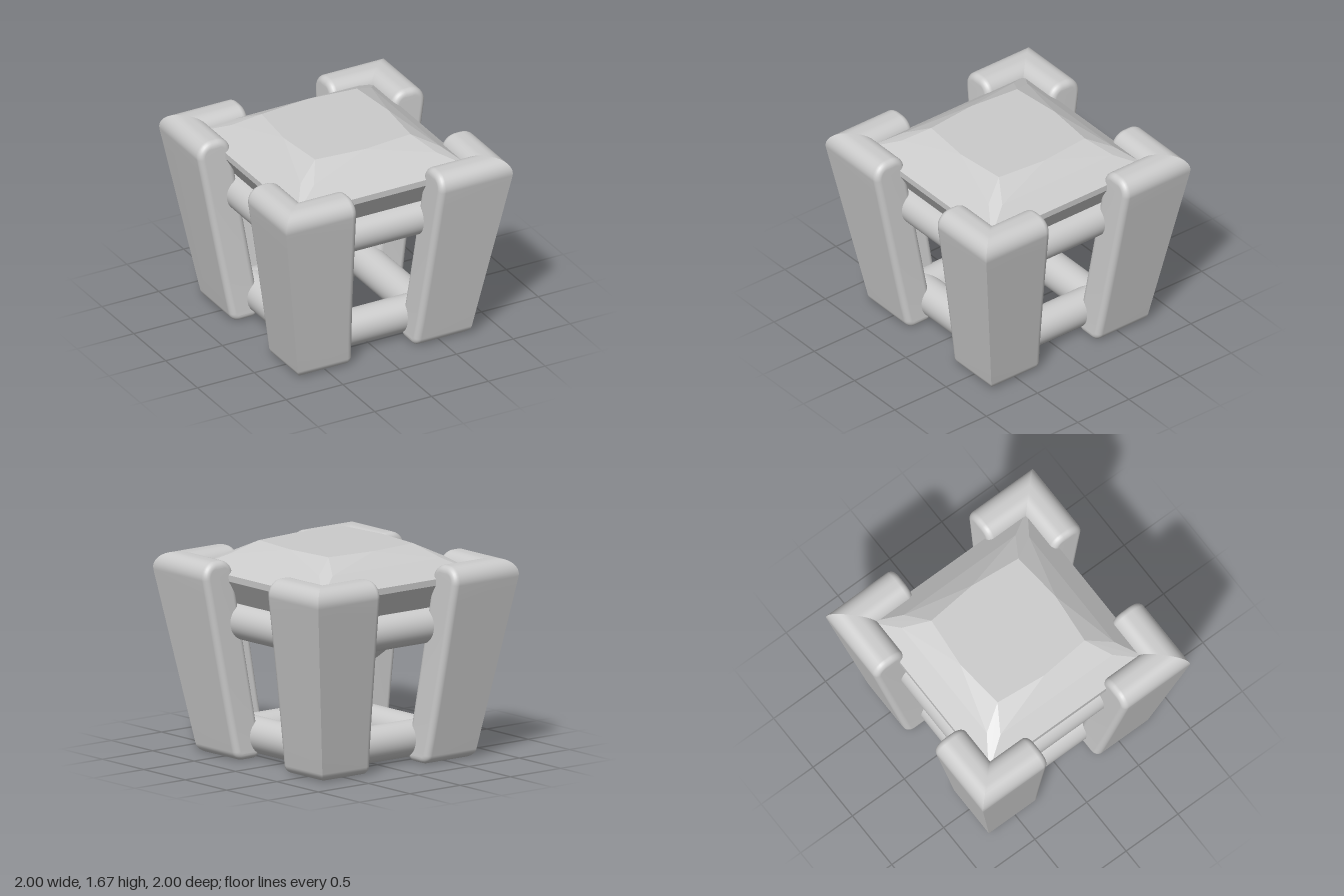
import * as THREE from 'three';
import { ConvexGeometry } from 'three/addons/geometries/ConvexGeometry.js';

const material = new THREE.MeshStandardMaterial({ color: 0xcccccc });
const V2 = (x, y) => new THREE.Vector2(x, y);

// Rounded thickness profile of a prong wing: arc centres, normals and radii, in (depth, height)
function wingProfile() {
  const corners = [[0.755, 0, 0.08], [1.02, 1.565, 0.12], [0.725, 1.565, 0.12], [0.49, 0, 0.08]];
  const p = corners.map(([z, y]) => V2(z, y));
  const arcSteps = 8, sideSteps = 10, points = [];
  corners.forEach(([, , r], k) => {
    const toPrev = p[(k + 3) % 4].clone().sub(p[k]).normalize();
    const toNext = p[(k + 1) % 4].clone().sub(p[k]).normalize();
    const sin = Math.abs(toPrev.cross(toNext));
    const centre = p[k].clone().add(toPrev.clone().add(toNext).multiplyScalar(r / sin));
    const a0 = Math.atan2(toPrev.x, -toPrev.y);
    let a1 = Math.atan2(-toNext.x, toNext.y);
    while (a1 < a0) a1 += Math.PI * 2;
    for (let i = 0; i <= arcSteps; i++) {
      const a = a0 + (a1 - a0) * i / arcSteps;
      points.push({ centre, normal: V2(Math.cos(a), Math.sin(a)), r });
    }
  });
  // Extra points along the two tall sides so the wing's end can curve
  const result = [], n = arcSteps + 1;
  points.forEach((q, i) => {
    result.push(q);
    if (i !== n - 1 && i !== 3 * n - 1) return;
    const next = points[i + 1];
    for (let s = 1; s < sideSteps; s++) {
      const t = s / sideSteps;
      result.push({
        centre: q.centre.clone().lerp(next.centre, t),
        normal: q.normal, r: q.r + (next.r - q.r) * t,
      });
    }
  });
  return result;
}

// One wing, mitred on the diagonal and rounded at its free end
function wingGeometry(swap) {
  const profile = wingProfile(), N = profile.length;
  const fillet = 0.05, steps = 6;
  const positions = [], index = [];
  const tri = (a, b, c) => (swap ? index.push(a, c, b) : index.push(a, b, c));
  for (let s = -1; s <= steps; s++) {
    const a = Math.max(s, 0) / steps * Math.PI / 2;
    const inset = fillet * (1 - Math.cos(a));
    for (const { centre, normal, r } of profile) {
      const z = centre.x + normal.x * (r - inset);
      const y = centre.y + normal.y * (r - inset);
      const end = 0.268 + 0.1 * Math.pow(Math.max(y, 0) / 1.565, 0.8);
      const x = s < 0 ? z : end + fillet * (1 - Math.sin(a));
      positions.push(...(swap ? [z, y, x] : [x, y, z]));
    }
  }
  for (let s = 0; s <= steps; s++) {
    for (let i = 0; i < N; i++) {
      const a = s * N + i, b = s * N + (i + 1) % N;
      tri(a, b, a + N);
      tri(b, b + N, a + N);
    }
  }
  // End cap in strips from the outer to the inner side
  const base = (steps + 1) * N;
  for (let i = 0; i < N / 2 - 1; i++) {
    const j = N - 1 - i;
    tri(base + i, base + i + 1, base + j - 1);
    tri(base + i, base + j - 1, base + j);
  }
  const g = new THREE.BufferGeometry();
  g.setAttribute('position', new THREE.Float32BufferAttribute(positions, 3));
  g.setIndex(index);
  g.computeVertexNormals();
  return g;
}

// Square frame of four round bars with mitred corners
function railFrame(name, y, half, radius) {
  const bar = new THREE.CylinderGeometry(radius, radius, 2, 48, 1, true);
  bar.rotateZ(Math.PI / 2).translate(0, 0, half);
  const pos = bar.attributes.position;
  for (let i = 0; i < pos.count; i++) pos.setX(i, Math.sign(pos.getX(i)) * pos.getZ(i));
  const frame = new THREE.Group();
  frame.name = name;
  frame.position.y = y;
  for (let k = 0; k < 4; k++) {
    const mesh = new THREE.Mesh(bar, material);
    mesh.name = 'railBar';
    mesh.rotation.y = k * Math.PI / 2;
    frame.add(mesh);
  }
  return frame;
}

// Square faceted stone: the same points repeated on four sides, plus the bottom tip
function stone() {
  const side = [
    [0.42, 1.67, 0.42], [0, 1.67, 0.46],                        // table
    [0.54, 1.57, 0.615], [-0.54, 1.57, 0.615],                  // crown
    [0.77, 1.45, 0.77], [0.77, 1.4, 0.77],                      // girdle
    [0, 0.89, 0.46], [0, 0.79, 0.37], [0, 0.69, 0.265],         // pavilion
  ];
  const points = [new THREE.Vector3(0, 0.52, 0)];
  for (let k = 0; k < 4; k++) {
    for (const [x, y, z] of side) {
      const p = [[x, z], [z, -x], [-x, -z], [-z, x]][k];
      points.push(new THREE.Vector3(p[0], y, p[1]));
    }
  }
  const mesh = new THREE.Mesh(new ConvexGeometry(points), material);
  mesh.name = 'stone';
  return mesh;
}

export function createModel() {
  const model = new THREE.Group();
  model.name = 'stoneSetting';

  // Four corner prongs, each of two mirrored wings
  const wings = [wingGeometry(false), wingGeometry(true)];
  for (let k = 0; k < 4; k++) {
    const prong = new THREE.Group();
    prong.name = 'prong';
    prong.rotation.y = k * Math.PI / 2;
    for (const g of wings) {
      const mesh = new THREE.Mesh(g, material);
      mesh.name = 'prongWing';
      prong.add(mesh);
    }
    model.add(prong);
  }

  model.add(railFrame('lowerRail', 0.163, 0.48, 0.141));
  model.add(railFrame('upperRail', 1.07, 0.63, 0.139));
  model.add(stone());
  return model;
}
